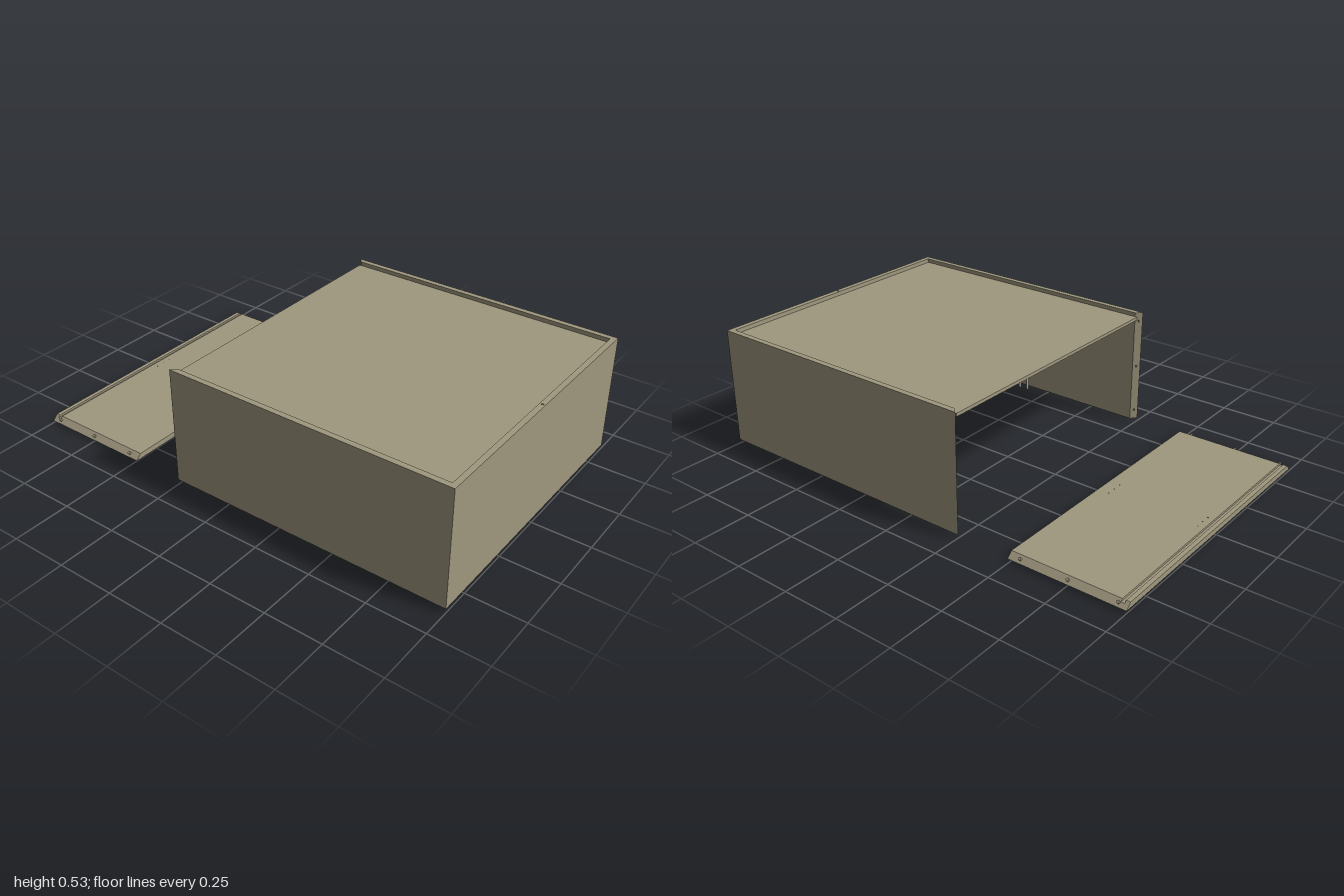
import * as THREE from 'three';

const wood = new THREE.MeshStandardMaterial({ color: 0xa0987f });
const dark = new THREE.MeshStandardMaterial({ color: 0x55503f });
const metal = new THREE.MeshStandardMaterial({ color: 0xcccccc });

const W = 0.626, T = 0.024;           // half width, board thickness
const FRONT = 1, BACK = -0.255;       // carcass depth
const BASE = 0.018, TOP = 0.53;       // carcass height

function add(parent, name, geometry, material, x = 0, y = 0, z = 0) {
  const mesh = new THREE.Mesh(geometry, material);
  mesh.name = name;
  mesh.position.set(x, y, z);
  parent.add(mesh);
  return mesh;
}

function extrude(points, depth) {
  const shape = new THREE.Shape(points.map(([x, y]) => new THREE.Vector2(x, y)));
  return new THREE.ExtrudeGeometry(shape, { depth, bevelEnabled: false });
}

// Board section with mitred ends, swept along z
function mitredStrip(parent, name, z0, z1, height) {
  const w = W - height;
  add(parent, name, extrude([[-W, 0], [W, 0], [w, height], [-w, height]], z1 - z0), wood, 0, 0.01, z0);
}

export function createModel() {
  const model = new THREE.Group();

  // Carcass: front and two sides in one U, rear ends mitred
  const carcass = new THREE.Group();
  carcass.name = 'carcass';
  model.add(carcass);
  const i = W - T;
  const plan = [
    [-W, -FRONT], [W, -FRONT], [W, -BACK], [i, -BACK - T],
    [i, -FRONT + T], [-i, -FRONT + T], [-i, -BACK - T], [-W, -BACK],
  ];
  add(carcass, 'walls', extrude(plan, TOP - BASE).rotateX(-Math.PI / 2), wood, 0, BASE, 0);

  // Recessed top board, with a tongue reaching past the inner rear edge
  const topDepth = FRONT - T + 0.24;
  add(carcass, 'topBoard', new THREE.BoxGeometry(2 * i, 0.014, topDepth), wood, 0, 0.505, -0.24 + topDepth / 2);

  // Dowel holes in the rear mitres and rows of screw holes on the front wall
  const hole = new THREE.CylinderGeometry(0.006, 0.006, 0.002, 12);
  for (const s of [-1, 1]) {
    for (const y of [0.06, 0.275, 0.49]) {
      const h = add(carcass, 'dowelHole', hole, dark, s * (W - T / 2), y, BACK + T / 2);
      h.quaternion.setFromUnitVectors(new THREE.Vector3(0, 1, 0), new THREE.Vector3(-s, 0, -1).normalize());
    }
  }
  const screw = new THREE.CylinderGeometry(0.003, 0.003, 0.002, 10);
  for (const x of [-0.04, 0, 0.04]) {
    for (const y of [0.07, 0.46]) {
      add(carcass, 'screwHole', screw, dark, x, y, FRONT - T).rotation.x = Math.PI / 2;
    }
  }
  add(carcass, 'edgeHole', hole, dark, 0, TOP, FRONT - T / 2);

  // Pair of slim round-ended clips inside the right wall
  const clip = new THREE.Shape();
  const r = 0.0065, len = 0.12;
  clip.absarc(0, len - r, r, 0, Math.PI);
  clip.absarc(0, r, r, Math.PI, 2 * Math.PI);
  clip.closePath();
  const clipGeo = new THREE.ExtrudeGeometry(clip, { depth: 0.006, bevelEnabled: false, curveSegments: 10 });
  for (const z of [0.35, 0.394]) add(carcass, 'clip', clipGeo, metal, -i + r, 0, z - 0.003);

  // Loose rear panel lying flat, grooved along its far edge
  const panel = new THREE.Group();
  panel.name = 'rearPanel';
  model.add(panel);
  mitredStrip(panel, 'panelLip', -1, -0.982, T);
  mitredStrip(panel, 'panelGroove', -0.982, -0.967, 0.015);
  mitredStrip(panel, 'panelBoard', -0.967, -0.49, T);

  // Dowels square to the mitred ends
  const dowel = new THREE.CylinderGeometry(0.006, 0.006, 0.02, 14);
  for (const s of [-1, 1]) {
    for (const z of [-0.96, -0.75, -0.54]) {
      add(panel, 'dowel', dowel, wood, s * (W - T / 2), 0.01 + T / 2, z).rotation.z = -s * Math.PI / 4;
    }
  }
  for (const x of [-0.04, 0, 0.04]) {
    for (const z of [-0.94, -0.54]) add(panel, 'screwHole', screw, dark, x, 0.01 + T, z);
  }
  return model;
}
